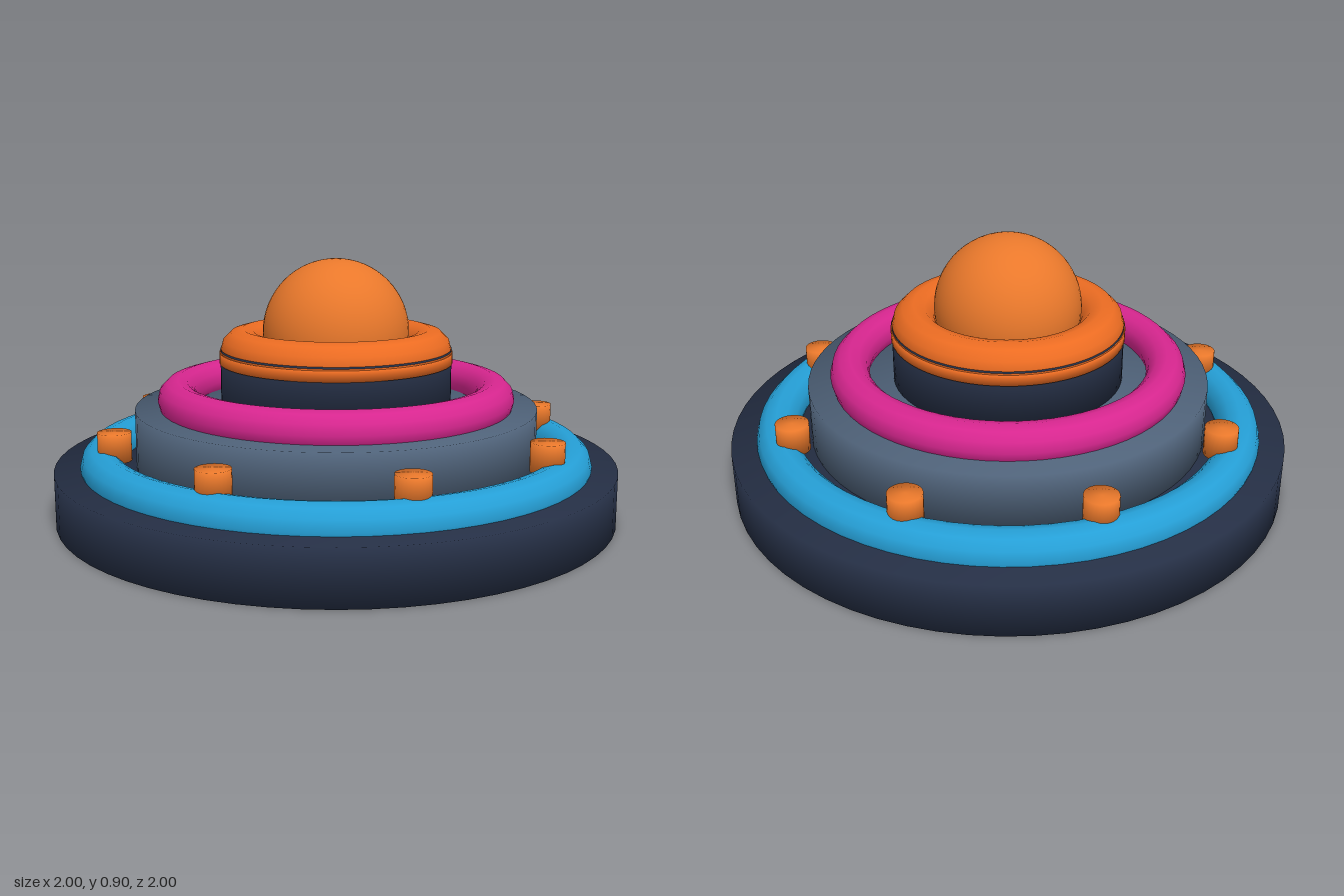
import * as THREE from 'three';

const DARK = 0x252f45, BLUE = 0x259fd6, SLATE = 0x4f6279;
const PINK = 0xd7268f, ORANGE = 0xec6c22, AMBER = 0xe9782b;

function part(name, geometry, color, y) {
  const mesh = new THREE.Mesh(geometry, new THREE.MeshStandardMaterial({ color }));
  mesh.name = name;
  mesh.position.y = y;
  return mesh;
}

// Solid disc between two heights, shaded softly across its rims
function disc(name, radius, bottom, top, color, sides = 64) {
  const height = top - bottom;
  const geometry = new THREE.CylinderGeometry(radius, radius, height, sides);
  const { position, normal } = geometry.attributes;
  const n = new THREE.Vector3();
  for (let i = 0; i < position.count; i++) {
    n.fromBufferAttribute(position, i);
    n.set(n.x / radius, Math.sign(n.y), n.z / radius).normalize();
    normal.setXYZ(i, n.x, n.y, n.z);
  }
  return part(name, geometry, color, bottom + height / 2);
}

// Ring lying flat
function ring(name, radius, tube, y, color) {
  const geometry = new THREE.TorusGeometry(radius, tube, 12, 64).rotateX(-Math.PI / 2);
  return part(name, geometry, color, y);
}

export function createModel() {
  const model = new THREE.Group();
  model.name = 'tieredButton';

  // Stepped body
  model.add(
    disc('base', 1, 0, 0.185, DARK),
    ring('lowerRing', 0.835, 0.075, 0.195, BLUE),
    disc('middleTier', 0.715, 0.185, 0.385, SLATE),
    ring('middleRing', 0.565, 0.07, 0.415, PINK),
    disc('upperTier', 0.411, 0.385, 0.59, DARK),
    disc('collarBand', 0.415, 0.54, 0.578, ORANGE),
    ring('collarRing', 0.332, 0.08, 0.58, ORANGE),
    part('dome', new THREE.SphereGeometry(0.26, 48, 32), AMBER, 0.645)
  );

  // Studs spaced around the lower ring
  const studs = new THREE.Group();
  studs.name = 'studs';
  for (let i = 0; i < 8; i++) {
    const angle = (i * Math.PI) / 4;
    const stud = disc('stud', 0.058, 0.233, 0.333, AMBER, 24);
    stud.position.x = Math.cos(angle) * 0.793;
    stud.position.z = Math.sin(angle) * 0.793;
    studs.add(stud);
  }
  model.add(studs);
  return model;
}
